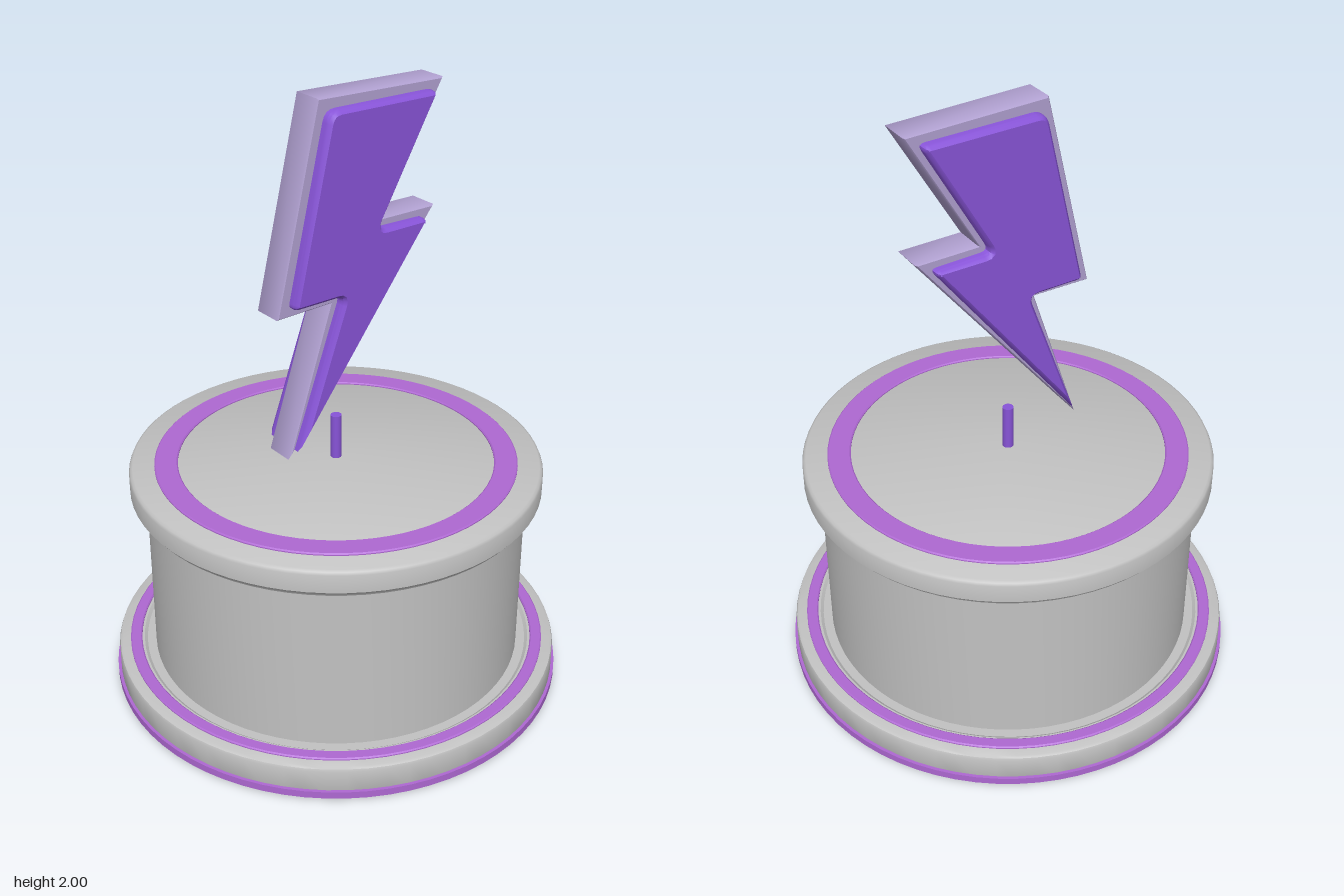
import * as THREE from 'three';
import { toCreasedNormals } from 'three/addons/utils/BufferGeometryUtils.js';

const material = (name, color) => {
  const m = new THREE.MeshStandardMaterial({ color });
  m.name = name;
  return m;
};

function addMesh(parent, name, geometry, mat) {
  const mesh = new THREE.Mesh(geometry, mat);
  mesh.name = name;
  parent.add(mesh);
  return mesh;
}

// Turned part from [radius, y] pairs listed from the bottom up
function turned(profile) {
  const points = profile.map(([r, y]) => new THREE.Vector2(r, y));
  return toCreasedNormals(new THREE.LatheGeometry(points, 72), 0.6);
}

// Raised flat ring with small chamfers
const ring = (inner, outer, y, h) => turned([
  [outer, y - 0.01], [outer, y + h * 0.5], [outer - 0.004, y + h],
  [inner + 0.004, y + h], [inner, y + h * 0.5], [inner, y - 0.01],
]);

// Counter-clockwise outline whose corners are rounded by each point's radius
function roundedOutline(corners) {
  const out = [];
  corners.forEach(([x, y, r = 0], i) => {
    const p = new THREE.Vector2(x, y);
    if (!r) { out.push(p); return; }
    const n = corners.length;
    const toward = ([qx, qy]) =>
      p.clone().add(new THREE.Vector2(qx - x, qy - y).setLength(r));
    const curve = new THREE.QuadraticBezierCurve(
      toward(corners[(i + n - 1) % n]), p, toward(corners[(i + 1) % n]));
    out.push(...curve.getPoints(4));
  });
  return out;
}

// Move every edge of an outline inward by d
function inset(points, d) {
  const n = points.length;
  return points.map((p, i) => {
    const a = p.clone().sub(points[(i + n - 1) % n]).normalize();
    const b = points[(i + 1) % n].clone().sub(p).normalize();
    const na = new THREE.Vector2(-a.y, a.x), nb = new THREE.Vector2(-b.y, b.x);
    const miter = na.clone().add(nb);
    return p.clone().addScaledVector(miter, d / (1 + na.dot(nb)));
  });
}

// Symmetrical plate: steps are [inset, half depth] from the middle outward
function plate(outline, steps) {
  const levels = [
    ...steps.slice().reverse().map(([d, z]) => [d, -z]),
    ...steps,
  ].map(([d, z]) => inset(outline, d).map((p) => [p.x, p.y, z]));
  const n = outline.length, pos = [];
  const tri = (a, b, c) => pos.push(...a, ...b, ...c);
  for (let k = 0; k < levels.length - 1; k++) {
    for (let i = 0; i < n; i++) {
      const j = (i + 1) % n, lo = levels[k], hi = levels[k + 1];
      tri(lo[i], lo[j], hi[j]);
      tri(lo[i], hi[j], hi[i]);
    }
  }
  const back = levels[0], front = levels[levels.length - 1];
  const contour = front.map(([x, y]) => new THREE.Vector2(x, y));
  for (const [a, b, c] of THREE.ShapeUtils.triangulateShape(contour, [])) {
    tri(front[a], front[b], front[c]);
    tri(back[a], back[c], back[b]);
  }
  const g = new THREE.BufferGeometry();
  g.setAttribute('position', new THREE.Float32BufferAttribute(pos, 3));
  return toCreasedNormals(g, 0.7);
}

export function createModel() {
  const grey = material('stone grey', 0xc2c2c2);
  const orchid = material('orchid trim', 0xae68d2);
  const violet = material('violet', 0x8854d8);
  const lilac = material('pale lilac', 0xb0a0d0);
  const model = new THREE.Group();
  model.name = 'lightningTrophy';

  // Pedestal: stepped foot, column and overhanging cap
  const pedestal = new THREE.Group();
  pedestal.name = 'pedestal';
  model.add(pedestal);
  addMesh(pedestal, 'pedestalBody', turned([
    [0, 0], [0.74, 0], [0.745, 0.01], [0.745, 0.105], [0.742, 0.113], [0.734, 0.118],
    [0.66, 0.118], [0.65, 0.11], [0.62, 0.11],
    [0.62, 0.682], [0.642, 0.684], [0.656, 0.69], [0.66, 0.698], [0.672, 0.71],
    [0.672, 0.77], [0.668, 0.779], [0.66, 0.784], [0, 0.784],
  ]), grey);
  addMesh(pedestal, 'footTrim', turned([
    [0.74, 0.01], [0.755, 0.01], [0.755, 0.034], [0.74, 0.034],
  ]), orchid);
  addMesh(pedestal, 'footRing', ring(0.668, 0.707, 0.118, 0.007), orchid);
  addMesh(pedestal, 'capRing', ring(0.514, 0.59, 0.784, 0.007), orchid);

  // Short pin in the middle of the cap
  const pin = addMesh(model, 'pin', new THREE.CylinderGeometry(0.018, 0.018, 0.155, 16), violet);
  pin.position.y = 0.858;

  // Lightning bolt: pale rim plate with a thicker violet core
  const bolt = new THREE.Group();
  bolt.name = 'lightningBolt';
  model.add(bolt);
  const rim = roundedOutline([
    [-0.105, 2.0], [-0.26, 1.355], [-0.062, 1.358], [-0.225, 0.868],
    [0.345, 1.588], [0.135, 1.59], [0.367, 1.987],
  ]);
  addMesh(bolt, 'boltRim', plate(rim, [[0, 0.048], [0.004, 0.053]]), lilac);
  const core = roundedOutline([
    [-0.082, 1.965, 0.035], [-0.22, 1.383, 0.02], [-0.028, 1.383, 0.03], [-0.205, 0.9],
    [0.3, 1.563, 0.025], [0.1, 1.568, 0.03], [0.325, 1.96, 0.025],
  ]);
  addMesh(bolt, 'boltCore', plate(core, [[0, 0.07], [0.003, 0.08], [0.012, 0.089]]), violet);

  return model;
}
